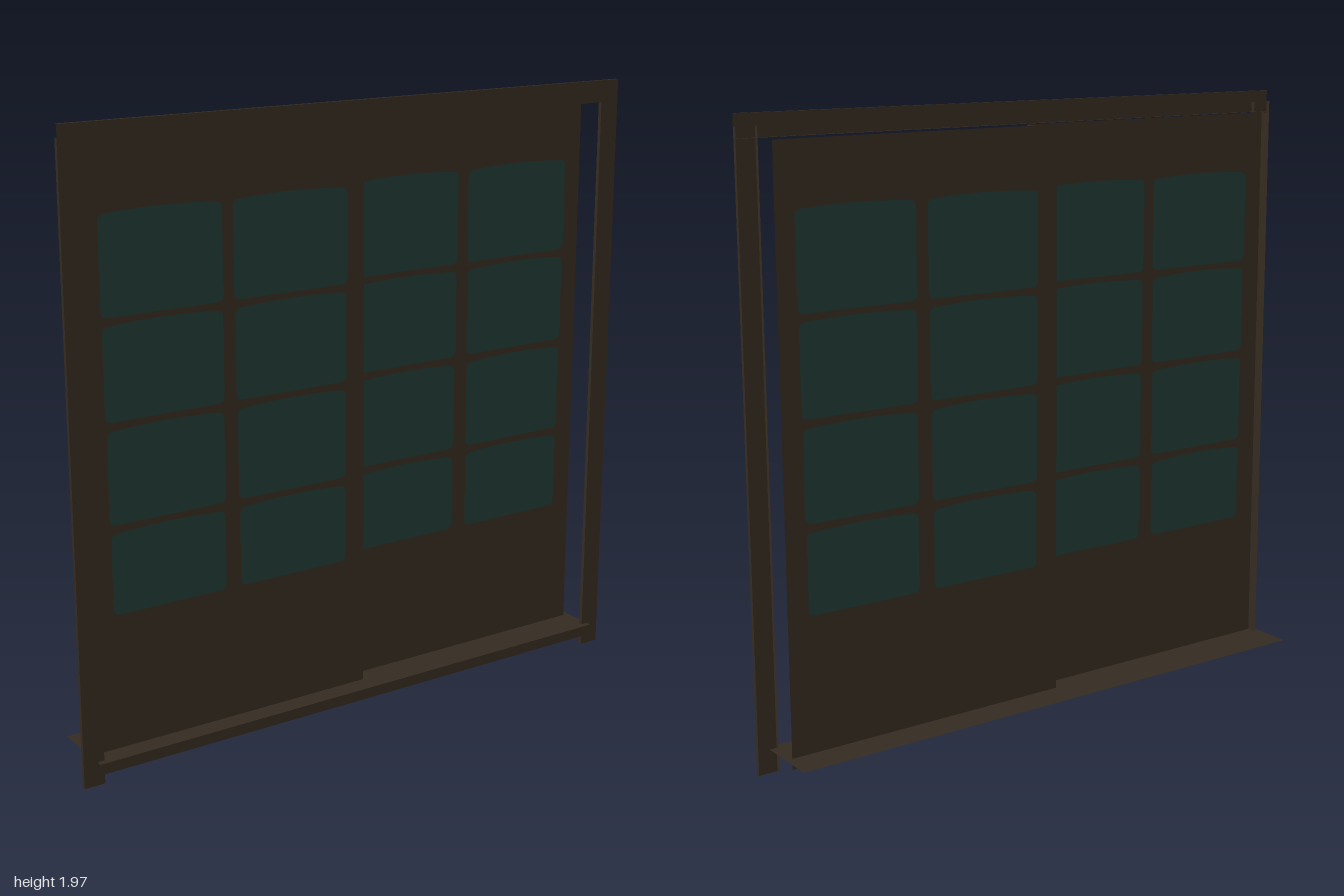
import * as THREE from 'three';

export function createModel() {
  const group = new THREE.Group();
  const mat = (name, color, side = THREE.FrontSide) => {
    const m = new THREE.MeshStandardMaterial({ color, side });
    m.name = name;
    return m;
  };
  const wood = mat('darkWood', 0x342a20, THREE.DoubleSide);
  const glass = mat('greenGlass', 0x1f3833);

  const add = (name, geo, material, x, y, z, parent = group) => {
    const mesh = new THREE.Mesh(geo, material);
    mesh.name = name;
    mesh.position.set(x, y, z);
    parent.add(mesh);
    return mesh;
  };

  // Open-backed box: a front face plus the listed sides (0 = +x, 1 = -x, 2 = +y, 3 = -y)
  const channel = (w, h, d, sides) => {
    const geo = new THREE.BoxGeometry(w, h, d);
    const index = Array.from(geo.index.array);
    geo.setIndex([...sides, 4].flatMap((f) => index.slice(f * 6, f * 6 + 6)));
    return geo;
  };

  // Frame: two posts and a lintel, open at the back
  for (const s of [-1, 1]) {
    add(s > 0 ? 'leftPost' : 'rightPost', channel(0.068, 1.93, 0.013, [0, 1]), wood, s * 0.966, 0.965, 0.0865);
  }
  add('lintel', channel(2, 0.07, 0.013, [2, 3]), wood, 0, 1.932, 0.087);

  // Threshold: thin sheet with a lip along its front edge
  add('thresholdSheet', new THREE.PlaneGeometry(1.91, 0.228).rotateX(-Math.PI / 2), wood, 0, 0.075, -0.002);
  add('thresholdLip', new THREE.PlaneGeometry(1.91, 0.035), wood, 0, 0.0575, 0.112);

  // Pane outline: rounded corners and a slightly bowed top
  const paneGeo = (w, h) => {
    const a = w / 2, b = h / 2, r = 0.022;
    const s = new THREE.Shape();
    s.moveTo(-a + r, -b);
    s.lineTo(a - r, -b);
    s.quadraticCurveTo(a, -b, a, -b + r);
    s.lineTo(a, b - r);
    s.quadraticCurveTo(a, b, a - r, b);
    s.quadraticCurveTo(0, b + 0.014, -a + r, b);
    s.quadraticCurveTo(-a, b, -a, b - r);
    s.lineTo(-a, -b + r);
    s.quadraticCurveTo(-a, -b, -a + r, -b);
    return new THREE.ShapeGeometry(s, 6);
  };

  // Rows of panes: bottom, top, width
  const rows = [
    [0.505, 0.758, 0.385],
    [0.785, 1.07, 0.39],
    [1.097, 1.38, 0.395],
    [1.405, 1.703, 0.4],
  ];

  // Sliding doors: the panel's face lies at zFace, with panes on both of its sides
  const door = (name, geo, x, z, zFace, columns) => {
    const g = new THREE.Group();
    g.name = name;
    add('doorPanel', geo, wood, x, 0.969, z, g);
    for (const [y0, y1, w] of rows) {
      for (const cx of columns) {
        const pane = paneGeo(w, y1 - y0);
        add('paneFront', pane, glass, cx, (y0 + y1) / 2, zFace + 0.002, g);
        add('paneBack', pane, glass, cx, (y0 + y1) / 2, zFace - 0.002, g).rotation.y = Math.PI;
      }
    }
    group.add(g);
  };
  door('frontDoor', channel(0.967, 1.858, 0.035, [0, 1]), -0.4505, 0.0275, 0.045, [-0.23, -0.667]);
  door('rearDoor', new THREE.PlaneGeometry(0.974, 1.858), 0.447, -0.008, -0.008, [0.232, 0.672]);

  return group;
}
